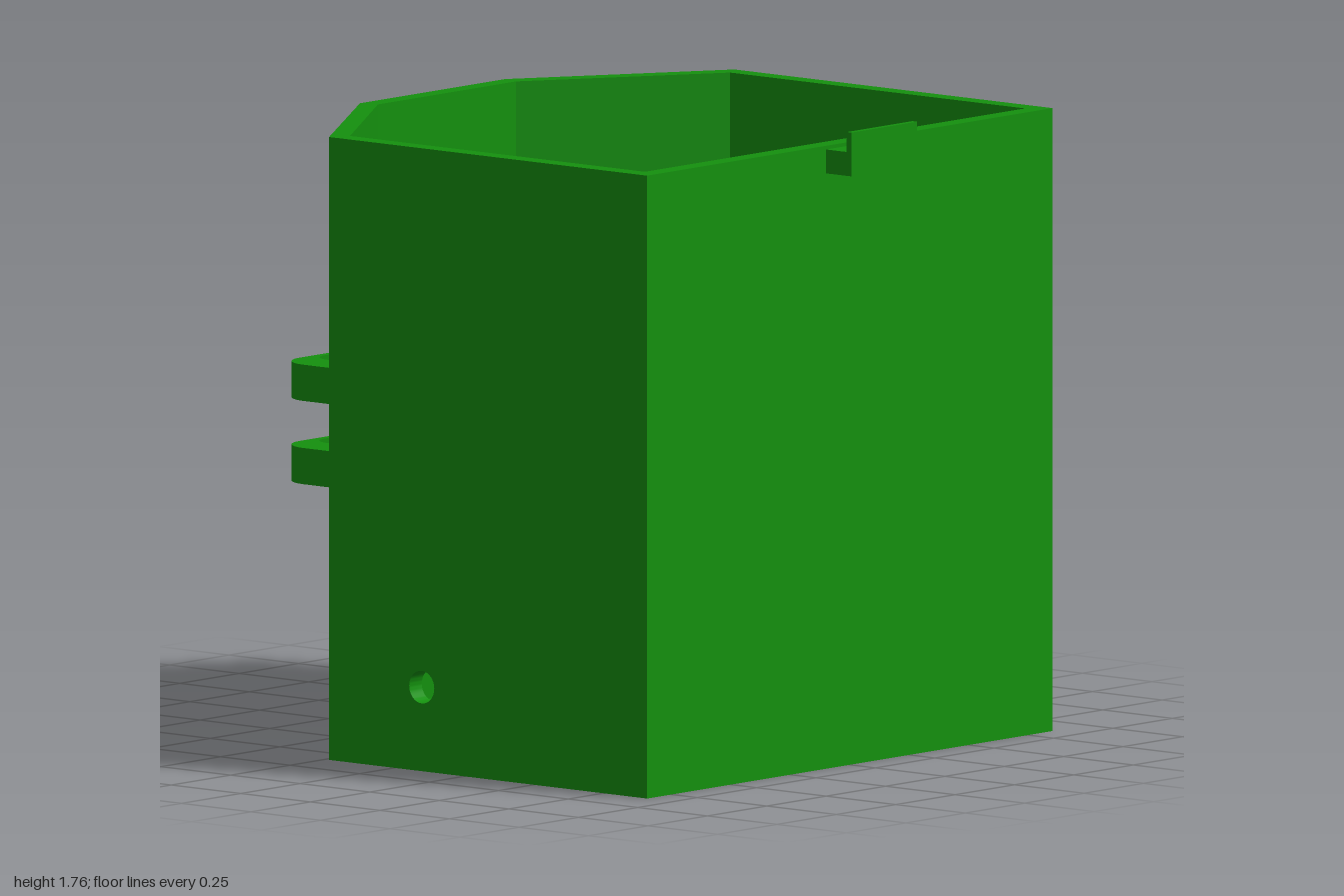
import * as THREE from 'three';
import { toCreasedNormals } from 'three/addons/utils/BufferGeometryUtils.js';

const HEIGHT = 1.72, FLOOR = 0.055;

const polygon = (points) => new THREE.Shape(points.map(([x, y]) => new THREE.Vector2(x, y)));

function roundHole(x, y, r) {
  const hole = new THREE.Path();
  hole.absarc(x, y, r, 0, Math.PI * 2, true);
  return hole;
}

function extrude(shape, depth) {
  const geometry = new THREE.ExtrudeGeometry(shape, { depth, bevelEnabled: false, curveSegments: 24 });
  return toCreasedNormals(geometry, 0.5);
}

// Plan outline raised from y0 to y1
const raise = (shape, y0, y1) => extrude(shape, y1 - y0).rotateX(-Math.PI / 2).translate(0, y0, 0);

export function createModel() {
  const model = new THREE.Group();
  const material = new THREE.MeshStandardMaterial({ color: 0x14900e });
  const add = (name, geometry, parent = model) => {
    const mesh = new THREE.Mesh(geometry, material);
    mesh.name = name;
    parent.add(mesh);
    return mesh;
  };

  // Open container: angled side, two pierced panels, flat side and floor
  const container = new THREE.Group();
  container.name = 'container';
  model.add(container);

  add('angledWall', raise(polygon([
    [-0.205, 0.853], [-0.235, 0.853], [-0.592, 0.305], [-0.592, -0.305], [-0.235, -0.853], [-0.205, -0.853],
    [-0.205, -0.8], [-0.54, -0.29], [-0.54, 0.29], [-0.205, 0.8],
  ]), 0, HEIGHT), container);

  for (const [name, z] of [['frontWall', 0.8], ['backWall', -0.853]]) {
    const panel = polygon([[-0.205, 0], [0.855, 0], [0.855, HEIGHT], [-0.205, HEIGHT]]);
    panel.holes.push(roundHole(0.098, 0.232, 0.045));
    add(name, extrude(panel, 0.053).translate(0, 0, z), container);
  }

  add('flatWall', new THREE.BoxGeometry(0.053, HEIGHT, 1.706).translate(0.8815, HEIGHT / 2, 0), container);

  add('floor', raise(polygon([
    [0.855, -0.8], [0.855, 0.8], [-0.205, 0.8], [-0.54, 0.29], [-0.54, -0.29], [-0.205, -0.8],
  ]), 0, FLOOR), container);

  // Pair of hinge lugs with rounded ends and pin holes
  const w = 0.178, r = 0.1;
  const lug = new THREE.Shape();
  lug.moveTo(-0.57, -w);
  lug.lineTo(-0.57, w);
  lug.lineTo(-1 + r, w);
  lug.absarc(-1 + r, w - r, r, Math.PI / 2, Math.PI, false);
  lug.lineTo(-1, -w + r);
  lug.absarc(-1 + r, -w + r, r, Math.PI, Math.PI * 1.5, false);
  lug.closePath();
  lug.holes.push(roundHole(-0.915, 0, 0.063));
  add('lowerLug', raise(lug, 0.625, 0.725));
  add('upperLug', raise(lug, 0.855, 0.955));

  // Latch hook with an upturned lip
  const hook = polygon([[0.9, 1.644], [1, 1.644], [1, 1.765], [0.982, 1.765], [0.982, 1.71], [0.9, 1.71]]);
  add('latchHook', extrude(hook, 0.276).translate(0, 0, -0.176));

  return model;
}
